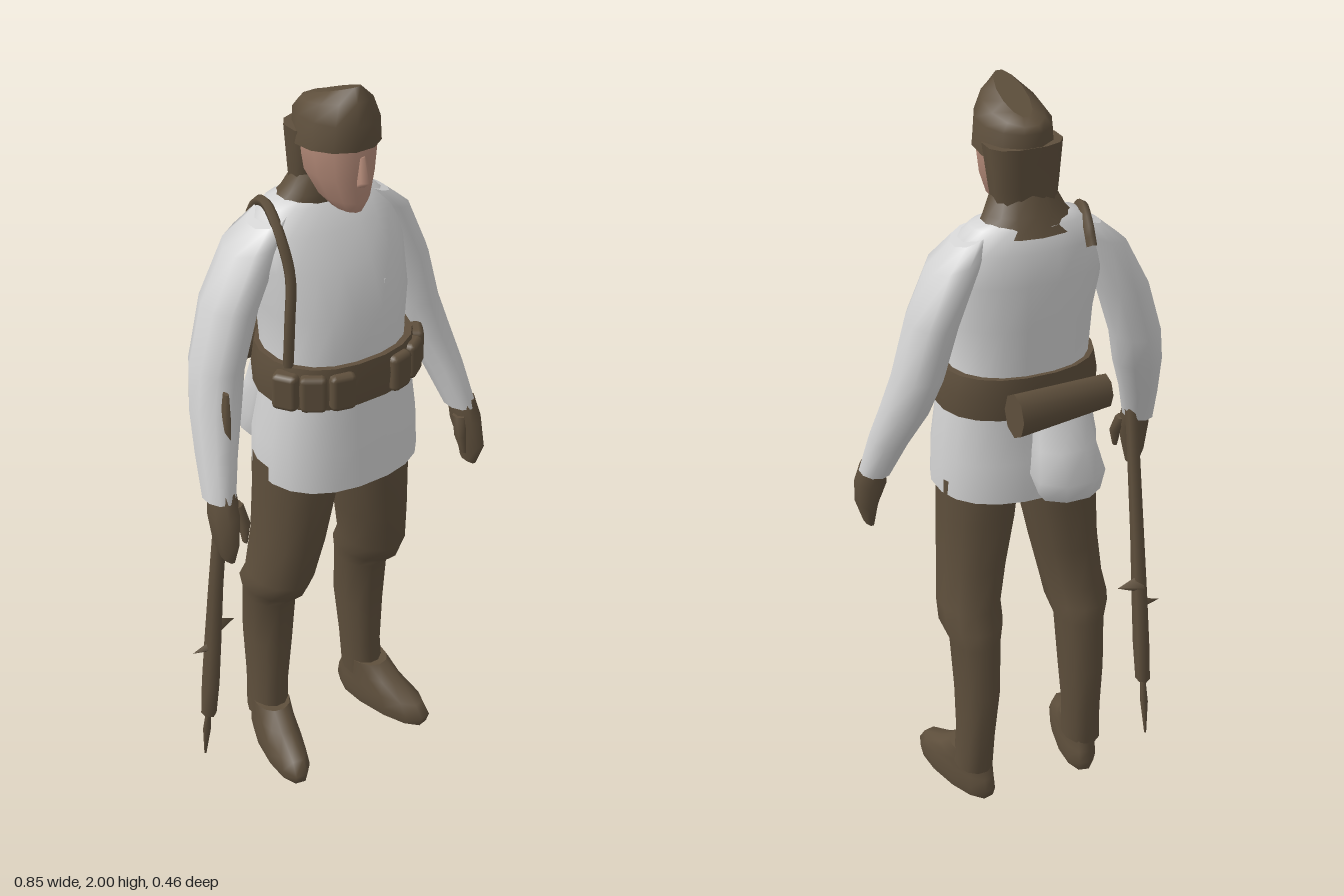
import * as THREE from 'three';
import { RoundedBoxGeometry } from 'three/addons/geometries/RoundedBoxGeometry.js';

const mat = (name, color) => Object.assign(new THREE.MeshStandardMaterial({ color }), { name });

// Skin over horizontal oval rings: [y, cx, cz, rx, rz, tiltX, tiltZ]; power > 2 makes them boxier
function loft(list, n = 12, power = 2) {
  const rings = [...list].sort((a, b) => a[0] - b[0]);
  const pos = [], idx = [];
  const addRing = ([y, cx, cz, rx, rz, tx = 0, tz = 0]) => {
    const start = pos.length / 3;
    for (let j = 0; j < n; j++) {
      const a = ((j + 0.5) / n) * Math.PI * 2;
      const u = Math.sign(Math.cos(a)) * Math.abs(Math.cos(a)) ** (2 / power);
      const v = Math.sign(Math.sin(a)) * Math.abs(Math.sin(a)) ** (2 / power);
      pos.push(cx + rx * u, y + tx * u + tz * v, cz + rz * v);
    }
    return start;
  };
  const starts = rings.map(addRing);
  for (let i = 0; i + 1 < rings.length; i++) {
    for (let j = 0; j < n; j++) {
      const k = (j + 1) % n, lo = starts[i], hi = starts[i + 1];
      idx.push(lo + j, hi + j, lo + k, hi + j, hi + k, lo + k);
    }
  }
  // Caps with their own vertices so their edges stay sharp
  [rings[0], rings[rings.length - 1]].forEach((r, top) => {
    const s = addRing(r), c = pos.length / 3;
    pos.push(r[1], r[0], r[2]);
    for (let j = 0; j < n; j++) {
      const k = (j + 1) % n;
      if (top) idx.push(c, s + k, s + j);
      else idx.push(c, s + j, s + k);
    }
  });
  const g = new THREE.BufferGeometry();
  g.setAttribute('position', new THREE.Float32BufferAttribute(pos, 3));
  g.setIndex(idx);
  g.computeVertexNormals();
  return g;
}

export function createModel() {
  const white = mat('white cloth', 0xd2d2d2);
  const brown = mat('brown cloth', 0x5e4f3c);
  const skin = mat('skin', 0xb58b79);
  const model = new THREE.Group();
  const add = (name, geo, m, parent = model) => {
    const mesh = new THREE.Mesh(geo, m);
    mesh.name = name;
    parent.add(mesh);
    return mesh;
  };

  // Jacket
  add('jacket', loft([
    [0.94, 0.012, 0.05, 0.222, 0.175], [1.05, 0.012, 0.047, 0.22, 0.17],
    [1.18, 0.014, 0.05, 0.2, 0.155], [1.3, 0.01, 0.04, 0.187, 0.155],
    [1.42, 0.008, 0.04, 0.195, 0.16], [1.54, 0.004, 0.015, 0.21, 0.138],
    [1.62, 0, 0, 0.2, 0.112], [1.675, 0, -0.01, 0.15, 0.08], [1.69, 0, -0.01, 0.1, 0.06],
  ], 20, 2.3), white);
  const flap = add('pocketFlap', new THREE.BoxGeometry(0.06, 0.012, 0.008), white);
  flap.position.set(0.1, 1.475, 0.158);
  flap.rotation.set(-0.25, 0.35, 0);

  // Collar
  add('collar', loft([
    [1.655, 0, -0.02, 0.14, 0.085], [1.7, 0.005, -0.005, 0.105, 0.075],
    [1.76, 0.005, 0.01, 0.075, 0.06],
  ], 14), brown);

  // Belt and its pouches
  add('belt', loft([
    [1.18, 0.012, 0.045, 0.212, 0.167], [1.24, 0.012, 0.045, 0.216, 0.172],
    [1.295, 0.012, 0.042, 0.205, 0.168],
  ], 20, 2.3), brown);
  for (const s of [-1, 1]) {
    for (const [x, z, turn] of [[0.085, 0.195, 0.25], [0.148, 0.165, 0.6], [0.195, 0.118, 1]]) {
      const pouch = add('beltPouch', new RoundedBoxGeometry(0.068, 0.1, 0.055, 1, 0.014), brown);
      pouch.position.set(0.012 + s * x, 1.232, z);
      pouch.rotation.y = s * turn;
    }
  }

  // Shoulder strap over the right side
  const strapPath = new THREE.CatmullRomCurve3([
    [-0.13, 1.61, -0.108], [-0.135, 1.655, -0.075], [-0.15, 1.68, -0.01], [-0.165, 1.63, 0.068],
    [-0.165, 1.54, 0.11], [-0.18, 1.42, 0.128], [-0.18, 1.3, 0.12],
  ].map((p) => new THREE.Vector3(...p)));
  add('shoulderStrap', new THREE.TubeGeometry(strapPath, 24, 0.014, 5), brown);

  // Sleeves and gloved hands; the right elbow sits a little further out
  for (const s of [1, -1]) {
    const side = s > 0 ? 'left' : 'right';
    const out = s > 0 ? 0 : 1;
    add(side + 'Sleeve', loft([
      [1.655, s * 0.15, -0.005, 0.05, 0.06, -s * 0.02],
      [1.605, s * 0.19, -0.01, 0.075, 0.085, -s * 0.025],
      [1.45, s * (0.255 + 0.01 * out), -0.01, 0.067, 0.09],
      [1.3, s * (0.29 + 0.025 * out), 0.005, 0.067, 0.082],
      [1.2, s * (0.318 + 0.02 * out), 0.03, 0.065, 0.075],
      [1.1, s * (0.35 + 0.015 * out), 0.07, 0.052, 0.065],
      [0.99, s * (0.378 + 0.008 * out), 0.11, 0.04, 0.053],
    ], 10), white);
    add(side + 'Hand', loft([
      [1.01, s * 0.38, 0.112, 0.034, 0.045], [0.95, s * 0.385, 0.13, 0.04, 0.05],
      [0.88, s * 0.392, 0.145, 0.028, 0.05], [0.82, s * 0.388, 0.145, 0.012, 0.03],
    ], 8), brown);
    add(side + 'Thumb', loft([
      [0.97, s * 0.355, 0.14, 0.018, 0.02], [0.92, s * 0.345, 0.16, 0.015, 0.018],
      [0.87, s * 0.35, 0.17, 0.006, 0.01],
    ], 6), brown);

    // Trouser legs with baggy knees, then boots turned outwards
    const legX = (c) => 0.01 + s * c;
    add(side + 'Leg', loft([
      [0.98, legX(0.11), 0.032, 0.112, 0.12], [0.86, legX(0.118), 0.035, 0.105, 0.12],
      [0.72, legX(0.135), 0.03, 0.092, 0.113], [0.6, legX(0.152), 0.015, 0.084, 0.108],
      [0.55, legX(0.156), -0.01, 0.084, 0.108], [0.5, legX(0.154), -0.035, 0.068, 0.082],
      [0.35, legX(0.155), -0.045, 0.06, 0.083], [0.2, legX(0.16), -0.042, 0.051, 0.07],
      [0.09, legX(0.165), -0.035, 0.052, 0.068],
    ], 12), brown);
    const boot = add(side + 'Boot', loft([
      [0, 0, 0.07, 0.05, 0.155], [0.03, 0, 0.07, 0.055, 0.165], [0.065, 0, 0.06, 0.052, 0.15],
      [0.1, 0, 0.025, 0.05, 0.1], [0.14, 0, 0, 0.05, 0.07],
    ], 12, 2.2), brown);
    boot.position.set(legX(0.165), 0, -0.02);
    boot.rotation.y = s * 0.22;
  }

  // Head
  const head = new THREE.Group();
  head.name = 'head';
  model.add(head);
  add('face', loft([
    [1.68, 0.005, 0.1, 0.03, 0.055], [1.71, 0.005, 0.085, 0.055, 0.085],
    [1.77, 0.005, 0.065, 0.08, 0.105], [1.84, 0.005, 0.06, 0.09, 0.112],
    [1.9, 0.005, 0.055, 0.085, 0.11],
  ], 12), skin, head);
  add('nose', loft([
    [1.755, 0.005, 0.165, 0.018, 0.012], [1.77, 0.005, 0.17, 0.018, 0.024],
    [1.83, 0.005, 0.162, 0.009, 0.01],
  ], 6), skin, head);
  add('backOfHead', loft([
    [1.68, 0.005, -0.01, 0.075, 0.05], [1.76, 0.005, -0.002, 0.088, 0.055],
    [1.87, 0.005, 0.005, 0.1, 0.068],
  ], 12, 2.6), brown, head);
  add('cap', loft([
    [1.84, 0.005, 0.06, 0.1, 0.122, 0, 0.012], [1.91, 0.005, 0.06, 0.092, 0.124, 0, 0.005],
    [1.945, 0.005, 0.06, 0.07, 0.112, 0, 0.025], [1.967, 0.003, 0.065, 0.035, 0.085, 0, 0.034],
  ], 12), brown, head);

  // Blanket roll and bag on the back of the belt
  const roll = add('blanketRoll', new THREE.CylinderGeometry(0.045, 0.058, 0.27, 8), brown);
  roll.rotation.set(0, 0.12, Math.PI / 2);
  roll.scale.x = 1.05;
  roll.scale.z = 0.8;
  roll.position.set(-0.025, 1.225, -0.158);
  add('backBag', loft([
    [1.19, -0.04, -0.13, 0.075, 0.035], [1.1, -0.045, -0.14, 0.085, 0.062],
    [1.02, -0.05, -0.15, 0.1, 0.085], [0.955, -0.06, -0.14, 0.085, 0.06],
  ], 8), white);

  // Rifle held upright beside the right leg
  const rifle = new THREE.Group();
  rifle.name = 'rifle';
  model.add(rifle);
  add('rifleBody', loft([
    [0.19, -0.365, -0.01, 0.02, 0.024], [0.3, -0.362, 0, 0.021, 0.032],
    [0.45, -0.36, 0.015, 0.02, 0.03], [0.65, -0.357, 0.035, 0.018, 0.024],
    [0.95, -0.355, 0.075, 0.016, 0.022], [1.1, -0.353, 0.095, 0.016, 0.03],
    [1.27, -0.35, 0.1, 0.006, 0.012],
  ], 6), brown, rifle);
  add('rifleTip', loft([
    [0.02, -0.363, -0.04, 0.003, 0.003], [0.12, -0.364, -0.025, 0.011, 0.011],
    [0.2, -0.365, -0.01, 0.007, 0.007],
  ], 6), brown, rifle);
  const bolt = add('rifleBolt', new THREE.ConeGeometry(0.03, 0.07, 4), brown, rifle);
  bolt.position.set(-0.325, 0.5, 0.015);
  bolt.rotation.z = -Math.PI / 2;
  const lever = add('rifleLever', new THREE.ConeGeometry(0.018, 0.06, 4), brown, rifle);
  lever.position.set(-0.39, 0.435, 0.01);
  lever.rotation.z = Math.PI / 2;

  return model;
}
